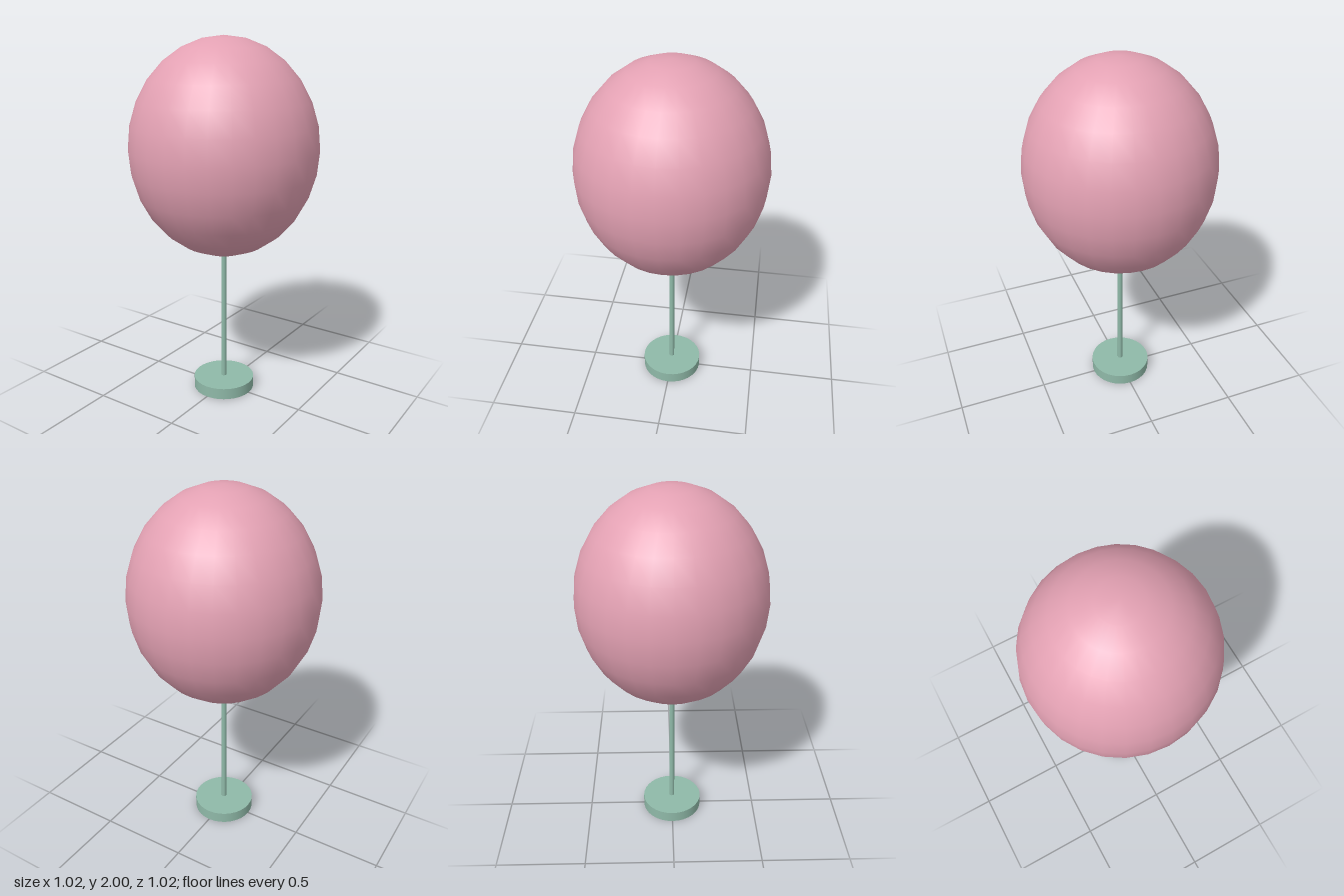
import * as THREE from 'three';

export function createModel() {
  const model = new THREE.Group();
  const pink = new THREE.MeshStandardMaterial({ color: 0xe3a1b3 });
  pink.name = 'soft pink';
  const green = new THREE.MeshStandardMaterial({ color: 0x8fb9a8 });
  green.name = 'sage green';

  const add = (name, geometry, material, y) => {
    const mesh = new THREE.Mesh(geometry, material);
    mesh.name = name;
    mesh.position.y = y;
    model.add(mesh);
  };

  // Round foot
  add('base', new THREE.CylinderGeometry(0.173, 0.173, 0.064, 32), green, 0.032);
  // Thin rod, its end tucked just inside the globe
  add('stem', new THREE.CylinderGeometry(0.0145, 0.0145, 0.78, 16), green, 0.45);
  // Globe, slightly taller than wide
  const globe = new THREE.SphereGeometry(0.511, 28, 14);
  globe.scale(1, 0.587 / 0.511, 1);
  add('globe', globe, pink, 1.413);

  return model;
}
